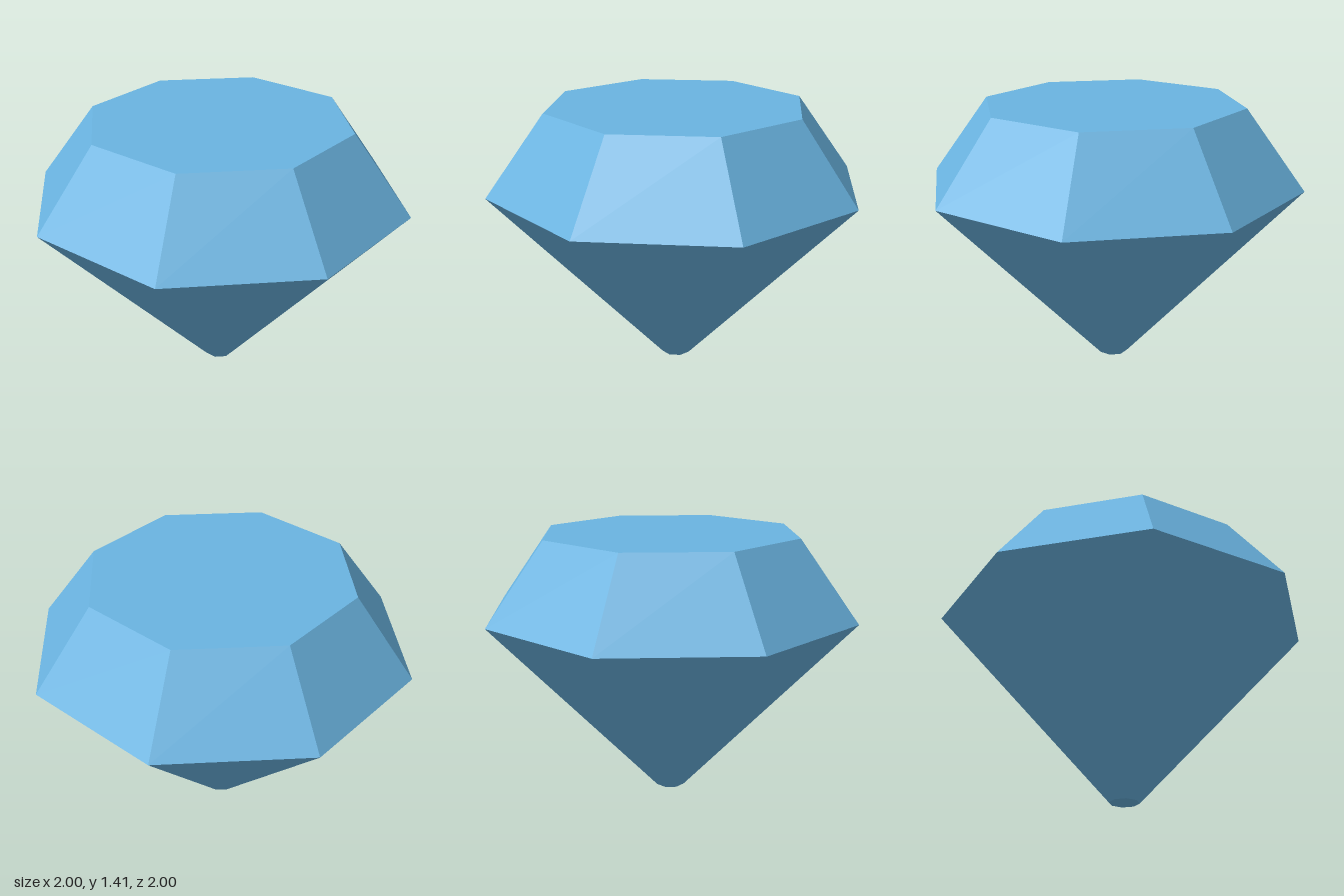
import * as THREE from 'three';

const SIDES = 8;
const GIRDLE_Y = 0.995, TOP_Y = 1.41;
const TABLE_R = 0.69, GIRDLE_R = 1, CULET_R = 0.08;

export function createModel() {
  const gem = new THREE.Group();
  gem.name = 'gem';

  const blue = new THREE.MeshStandardMaterial({ color: 0x6ab4e1 });
  blue.name = 'gemBlue';

  // Eight-sided open ring of flat facets between two heights
  const facets = (name, topR, bottomR, y0, y1) => {
    const geometry = new THREE.CylinderGeometry(topR, bottomR, y1 - y0, SIDES, 1, true).toNonIndexed();
    geometry.computeVertexNormals();
    const mesh = new THREE.Mesh(geometry, blue);
    mesh.name = name;
    mesh.position.y = (y0 + y1) / 2;
    gem.add(mesh);
  };

  // Flat octagon closing one end, facing up or down
  const cap = (name, radius, y, up) => {
    const mesh = new THREE.Mesh(new THREE.CircleGeometry(radius, SIDES), blue);
    mesh.name = name;
    mesh.rotation.x = up ? -Math.PI / 2 : Math.PI / 2;
    mesh.position.y = y;
    gem.add(mesh);
  };

  facets('crown', TABLE_R, GIRDLE_R, GIRDLE_Y, TOP_Y);
  facets('pavilion', GIRDLE_R, CULET_R, 0, GIRDLE_Y);
  cap('table', TABLE_R, TOP_Y, true);
  cap('culet', CULET_R, 0, false);

  return gem;
}
